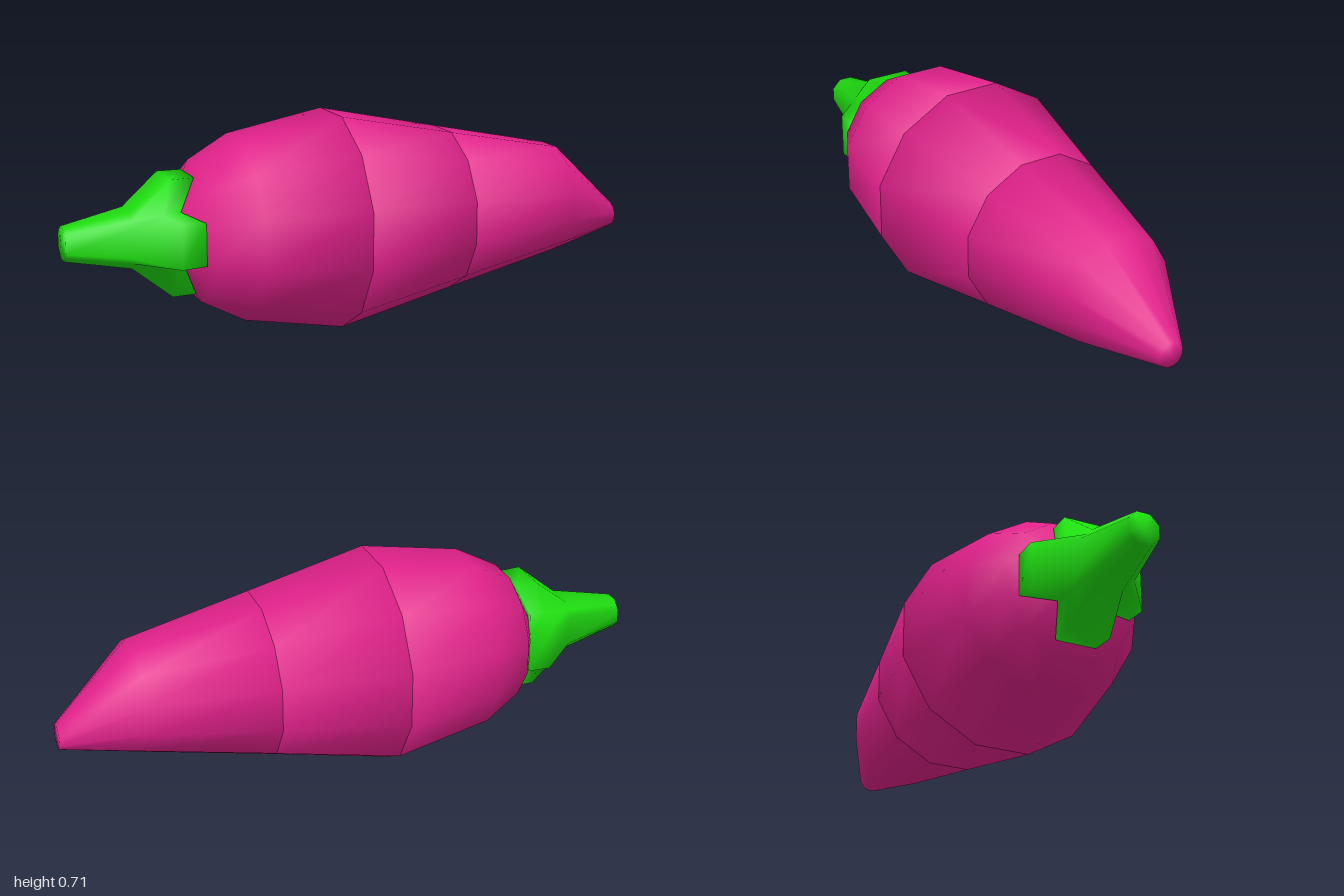
import * as THREE from 'three';
import { mergeVertices } from 'three/addons/utils/BufferGeometryUtils.js';

const SIDES = 12;
const CENTRE_Y = 0.356;

// Smooth 12-sided closed body along x; profile = [x, half height] pairs
function segmentGeometry(profile, bend) {
  const k = 1 / Math.cos(Math.PI / SIDES);
  const first = profile[0][0], last = profile[profile.length - 1][0];
  const points = [[first, 0], ...profile, [last, 0]].map(([x, a]) => new THREE.Vector2(a * k, x));
  let geo = new THREE.LatheGeometry(points, SIDES, Math.PI / SIDES);
  geo.rotateZ(-Math.PI / 2);
  if (bend) {
    const p = geo.attributes.position;
    for (let i = 0; i < p.count; i++) bend(p, i);
  }
  geo.deleteAttribute('uv');
  geo.deleteAttribute('normal');
  geo = mergeVertices(geo, 1e-4);
  geo.computeVertexNormals();
  return geo;
}

// Stem that opens into four lobes: each ring has two lobe corners and a notch per quarter
function calyxGeometry() {
  // [lobe x, lobe reach, lobe half width, notch x, notch offset]
  const rings = [
    [-1, 0.053, 0.022, -1, 0.038],
    [-0.79, 0.091, 0.05, -0.79, 0.07],
    [-0.665, 0.192, 0.074, -0.69, 0.082],
    [-0.585, 0.192, 0.07, -0.635, 0.087],
    [-0.63, 0.08, 0.06, -0.63, 0.08],
  ];
  const pos = [], index = [], n = 12;
  for (const [xl, r, w, xn, d] of rings) {
    for (let q = 0; q < 4; q++) {
      const c = Math.cos(q * Math.PI / 2), s = Math.sin(q * Math.PI / 2);
      for (const [x, a, t] of [[xl, r, -w], [xl, r, w], [xn, d, d]]) {
        pos.push(x, a * c - t * s, a * s + t * c);
      }
    }
  }
  for (let i = 0; i < rings.length - 1; i++) {
    for (let j = 0; j < n; j++) {
      const a = i * n + j, b = i * n + (j + 1) % n;
      index.push(a, b, a + n, b, b + n, a + n);
    }
  }
  // End caps
  const start = pos.length / 3, lastRing = (rings.length - 1) * n;
  pos.push(-1, 0, 0, -0.63, 0, 0);
  for (let j = 0; j < n; j++) {
    const k = (j + 1) % n;
    index.push(start, k, j, start + 1, lastRing + j, lastRing + k);
  }
  const geo = new THREE.BufferGeometry();
  geo.setAttribute('position', new THREE.Float32BufferAttribute(pos, 3));
  geo.setIndex(index);
  geo.computeVertexNormals();
  return geo;
}

export function createModel() {
  const group = new THREE.Group();
  const skin = new THREE.MeshStandardMaterial({ color: 0xe0218a });
  const leaf = new THREE.MeshStandardMaterial({ color: 0x1fdd10 });

  const add = (name, geo, mat) => {
    const mesh = new THREE.Mesh(geo, mat);
    mesh.name = name;
    mesh.position.y = CENTRE_Y;
    group.add(mesh);
  };

  // Three body segments meeting at hard seams
  add('bodyRear', segmentGeometry([[-0.645, 0.08], [-0.565, 0.224], [-0.425, 0.297], [-0.087, 0.356]]), skin);
  add('bodyMiddle', segmentGeometry([[-0.087, 0.356], [0.322, 0.27]]), skin);

  // The tip droops and leans slightly to the back
  const droop = (p, i) => {
    if (p.getX(i) > 0.9) p.setXYZ(i, p.getX(i), p.getY(i) - 0.092, p.getZ(i) - 0.015);
  };
  add('bodyTip', segmentGeometry([[0.322, 0.27], [0.74, 0.184], [1, 0.042]], droop), skin);

  add('stemAndLeaves', calyxGeometry(), leaf);
  return group;
}
